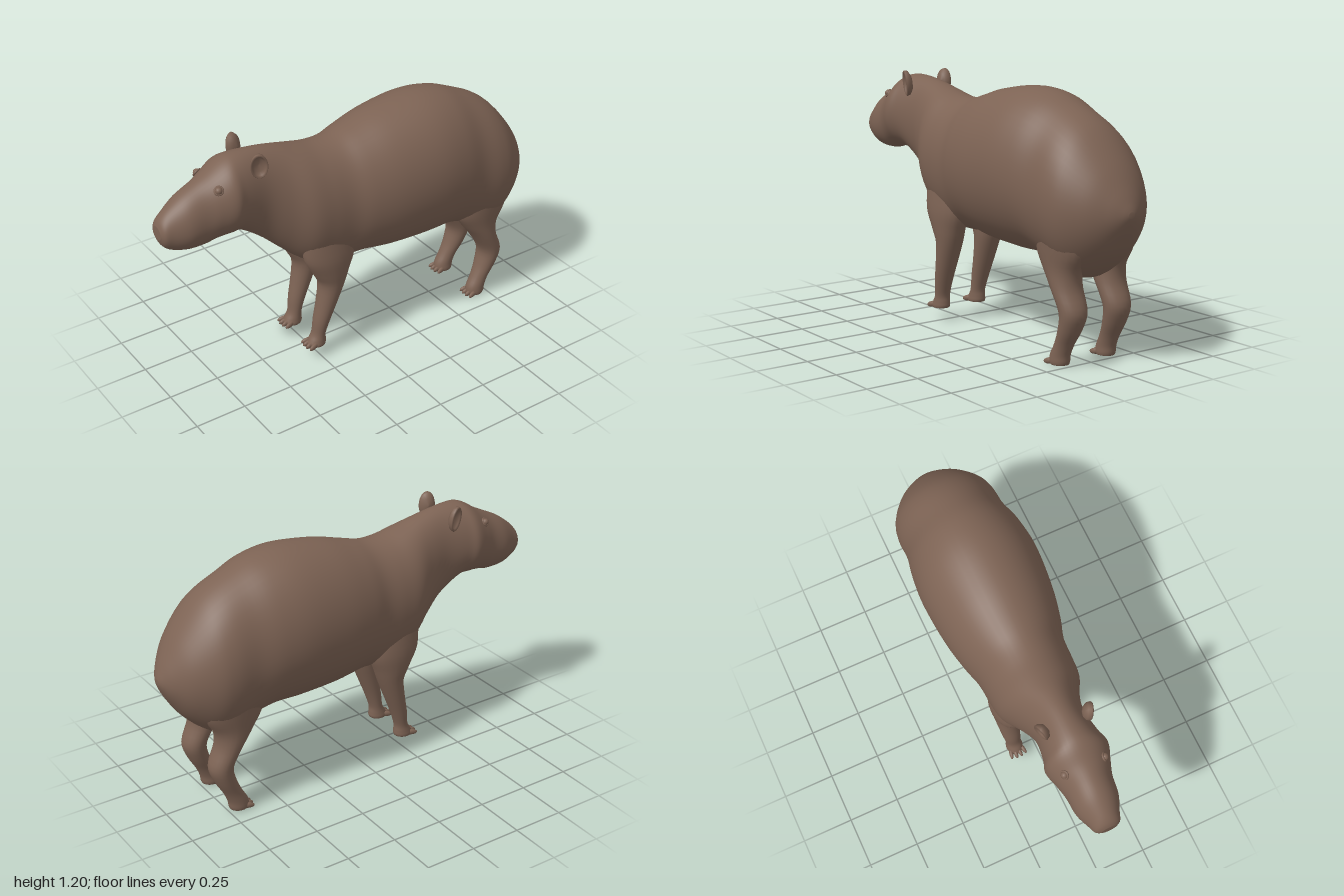
import * as THREE from 'three';

const fur = new THREE.MeshStandardMaterial({ color: 0x7d6354 });
fur.name = 'brown fur';

// Smoothly subdivide a list of equally long rows (Catmull-Rom per column)
function smoothRows(rows, steps) {
  const out = [];
  const last = rows.length - 1;
  for (let i = 0; i < last; i++) {
    const [a, b, c, d] = [rows[Math.max(i - 1, 0)], rows[i], rows[i + 1], rows[Math.min(i + 2, last)]];
    for (let s = 0; s < steps; s++) {
      const t = s / steps;
      out.push(b.map((p, k) => {
        const m0 = (c[k] - a[k]) / 2, m1 = (d[k] - p) / 2;
        return p + m0 * t + (3 * (c[k] - p) - 2 * m0 - m1) * t * t + (2 * (p - c[k]) + m0 + m1) * t * t * t;
      }));
    }
  }
  out.push(rows[last]);
  return out;
}

// Skin closed rings; point(row, angle) gives a position, and both ends are capped
function loft(rows, sides, point) {
  const pos = [], index = [];
  const rings = rows.map(r => Array.from({ length: sides }, (_, j) => point(r, j / sides * Math.PI * 2)));
  const collapse = ring => {
    const c = ring.reduce((s, p) => s.map((v, k) => v + p[k] / sides), [0, 0, 0]);
    return ring.map(() => c);
  };
  rings.unshift(collapse(rings[0]));
  rings.push(collapse(rings[rings.length - 1]));
  rings.forEach(ring => ring.forEach(p => pos.push(...p)));
  for (let i = 0; i < rings.length - 1; i++) {
    for (let j = 0; j < sides; j++) {
      const k = (j + 1) % sides;
      const a = i * sides + j, b = a + sides, c = i * sides + k, d = c + sides;
      if (i > 0) index.push(a, c, b);
      if (i < rings.length - 2) index.push(c, d, b);
      if (i === 0) index.push(a, d, b);
    }
  }
  // the first and last bands are fans: drop zero-area faces made above
  const geo = new THREE.BufferGeometry();
  geo.setAttribute('position', new THREE.Float32BufferAttribute(pos, 3));
  geo.setIndex(index);
  geo.computeVertexNormals();
  return geo;
}

function add(parent, name, geo) {
  const mesh = new THREE.Mesh(geo, fur);
  mesh.name = name;
  parent.add(mesh);
  return mesh;
}

// Head and trunk: x, top, bottom, half width, height of widest point
const headRows = [
  [-1.0, 0.935, 0.875, 0.035, 0.905], [-0.985, 0.965, 0.84, 0.06, 0.90],
  [-0.95, 1.0, 0.81, 0.075, 0.90], [-0.88, 1.05, 0.79, 0.103, 0.91],
  [-0.8, 1.09, 0.787, 0.112, 0.93], [-0.74, 1.12, 0.8, 0.13, 0.96],
  [-0.67, 1.163, 0.806, 0.152, 0.98], [-0.61, 1.177, 0.795, 0.135, 0.98],
  [-0.5, 1.17, 0.715, 0.122, 0.95]
];
const trunkRows = [
  [-0.4, 1.15, 0.62, 0.15, 0.88], [-0.3, 1.122, 0.53, 0.2, 0.82],
  [-0.2, 1.1, 0.475, 0.212, 0.8], [-0.1, 1.1, 0.465, 0.22, 0.79],
  [0.0, 1.125, 0.472, 0.25, 0.8], [0.15, 1.165, 0.455, 0.28, 0.81],
  [0.35, 1.19, 0.447, 0.295, 0.82], [0.5, 1.175, 0.447, 0.283, 0.8],
  [0.62, 1.13, 0.41, 0.26, 0.76], [0.73, 1.075, 0.38, 0.258, 0.73],
  [0.81, 1.01, 0.415, 0.238, 0.71], [0.9, 0.9, 0.5, 0.175, 0.7],
  [0.96, 0.8, 0.59, 0.1, 0.69], [0.99, 0.735, 0.65, 0.045, 0.69], [1.0, 0.705, 0.68, 0.015, 0.692]
];
const bodyPoint = ([x, top, bottom, w, mid], t) => {
  const c = Math.cos(t);
  return [x, mid + c * (c > 0 ? top - mid : mid - bottom), w * Math.sin(t)];
};

// Legs: height, front x, back x, centre z, half width
const frontLeg = [
  [0.68, -0.33, -0.06, 0.11, 0.075], [0.56, -0.32, -0.055, 0.115, 0.08],
  [0.47, -0.275, -0.085, 0.115, 0.073], [0.4, -0.243, -0.11, 0.113, 0.065],
  [0.3, -0.253, -0.15, 0.112, 0.055], [0.2, -0.272, -0.19, 0.11, 0.045],
  [0.13, -0.28, -0.213, 0.107, 0.038], [0.095, -0.298, -0.213, 0.107, 0.04],
  [0.075, -0.308, -0.212, 0.107, 0.042], [0.064, -0.305, -0.216, 0.107, 0.04]
];
const hindLeg = [
  [0.66, 0.56, 0.87, 0.125, 0.105], [0.52, 0.55, 0.85, 0.125, 0.088],
  [0.43, 0.6, 0.8, 0.125, 0.077], [0.35, 0.66, 0.795, 0.125, 0.074],
  [0.25, 0.715, 0.83, 0.125, 0.067], [0.17, 0.705, 0.807, 0.127, 0.057],
  [0.1, 0.677, 0.768, 0.13, 0.045], [0.05, 0.65, 0.747, 0.132, 0.043],
  [0.018, 0.643, 0.742, 0.132, 0.044], [0.004, 0.647, 0.737, 0.132, 0.041]
];

function makeLeg(name, rows, side, floor) {
  const leg = new THREE.Group();
  leg.name = name;
  add(leg, 'limb', loft(smoothRows(rows, 4), 24, ([y, x0, x1, z, w], t) =>
    [(x0 + x1) / 2 + (x1 - x0) / 2 * Math.cos(t), y, side * z + w * Math.sin(t)]));
  // Four splayed toes
  const [, frontX, , z] = rows[rows.length - 1];
  for (let i = 0; i < 4; i++) {
    const k = i - 1.5;
    const toe = add(leg, 'toe', new THREE.SphereGeometry(1, 12, 8));
    toe.scale.set(0.032, 0.014, 0.0105);
    toe.position.set(frontX + 0.004 + Math.abs(k) * 0.006, floor + 0.014, side * z + k * 0.021);
    toe.rotation.set(0, k * 0.16, 0.18);
  }
  return leg;
}

export function createModel() {
  const model = new THREE.Group();
  model.name = 'rodent';
  add(model, 'body', loft(smoothRows([...headRows, ...trunkRows], 5), 48, bodyPoint));

  // Cupped ear profile, from the hollow out over the rim to the back
  const cup = [[0, -0.016], [0.55, -0.012], [0.78, 0.004], [0.9, 0.014], [1, 0.006], [0.92, -0.016], [0.55, -0.034], [0, -0.04]]
    .map(([r, h]) => new THREE.Vector2(r * 0.04, h)).reverse();

  for (const side of [1, -1]) {
    const label = side > 0 ? 'near' : 'far';
    model.add(makeLeg(label + 'FrontLeg', frontLeg, side, 0.06));
    model.add(makeLeg(label + 'HindLeg', hindLeg, side, 0));

    // Ear, opening outward and a little forward
    const ear = new THREE.Group();
    ear.name = label + 'Ear';
    const shell = add(ear, 'earShell', new THREE.LatheGeometry(cup, 24));
    shell.rotation.x = side * Math.PI / 2;
    shell.scale.set(1, 0.75, 1.6);
    ear.position.set(-0.543, 1.14, side * 0.112);
    ear.rotation.set(side * 0.12, -side * 0.35, 0.1);
    model.add(ear);

    // Eye with a raised lid ring
    const eye = new THREE.Group();
    eye.name = label + 'Eye';
    add(eye, 'eyeball', new THREE.SphereGeometry(0.017, 16, 12));
    add(eye, 'eyelid', new THREE.TorusGeometry(0.018, 0.005, 8, 20));
    eye.position.set(-0.738, 1.075, side * 0.096);
    eye.rotation.set(-side * 0.6, side > 0 ? -0.3 : Math.PI + 0.3, 0);
    if (side < 0) eye.rotation.x = 0.6;
    model.add(eye);
  }
  return model;
}
